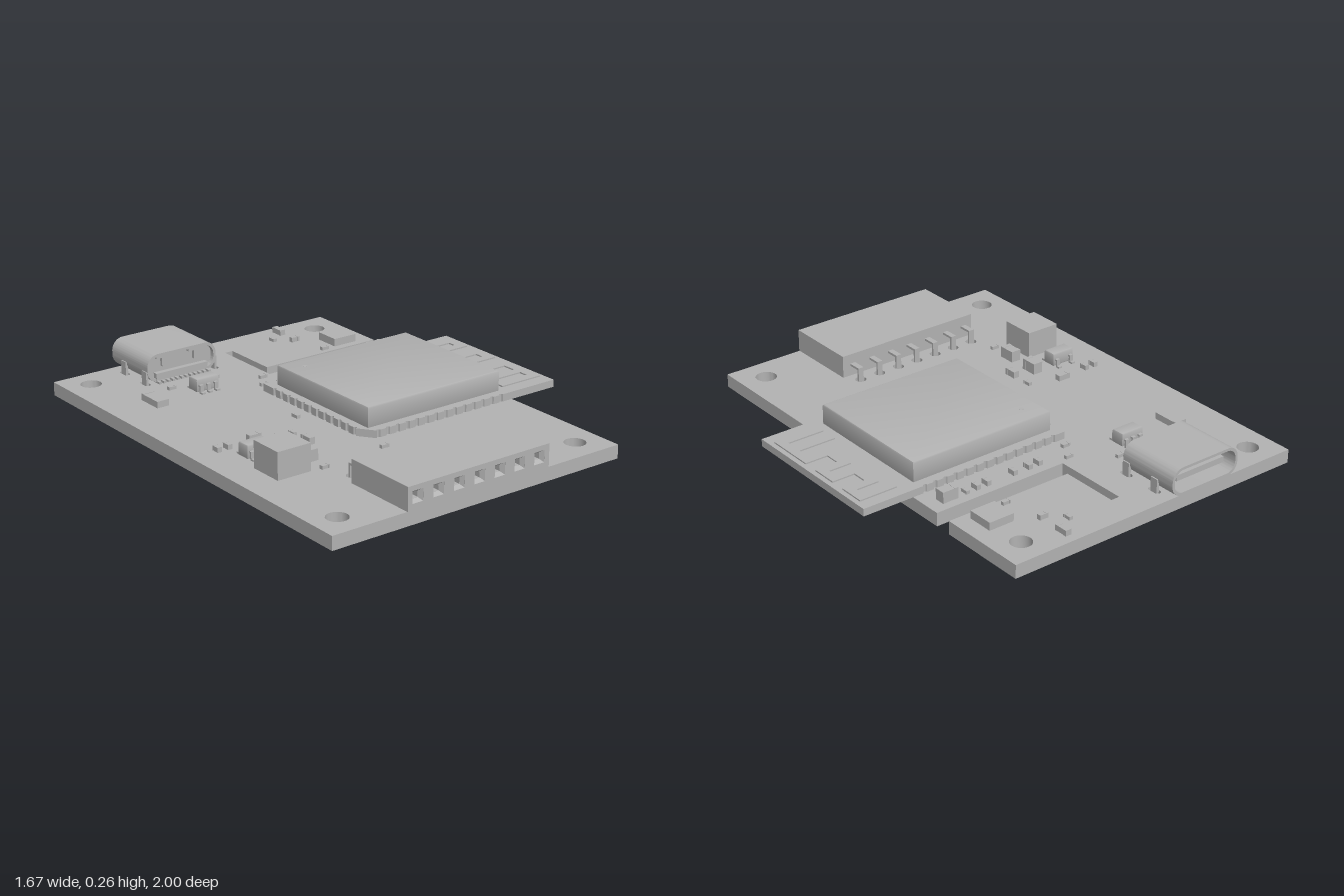
import * as THREE from 'three';
import { toCreasedNormals } from 'three/addons/utils/BufferGeometryUtils.js';

const TOP = 0.133, BASE = 0.073; // board surfaces

export function createModel() {
  const root = new THREE.Group();
  const grey = new THREE.MeshStandardMaterial({ color: 0xb2b2b2, side: THREE.DoubleSide });
  grey.name = 'plain grey';

  const add = (name, geo, parent = root) => {
    const m = new THREE.Mesh(geo, grey);
    m.name = name;
    parent.add(m);
    return m;
  };
  const group = (name) => {
    const g = new THREE.Group();
    g.name = name;
    root.add(g);
    return g;
  };
  // box given by its limits
  const box = (name, x0, x1, y0, y1, z0, z1, parent) => {
    const g = new THREE.BoxGeometry(x1 - x0, y1 - y0, z1 - z0);
    g.translate((x0 + x1) / 2, (y0 + y1) / 2, (z0 + z1) / 2);
    return add(name, g, parent);
  };
  // plan shapes use (x, -z) and are extruded upwards
  const plan = (pts) => new THREE.Shape(pts.map(([x, z]) => new THREE.Vector2(x, -z)));
  const slab = (shape, y0, y1, bevel = 0) => {
    const g = new THREE.ExtrudeGeometry(shape, {
      depth: y1 - y0 - bevel, curveSegments: 16, bevelEnabled: bevel > 0,
      bevelSize: bevel, bevelThickness: bevel, bevelOffset: -bevel, bevelSegments: 2,
    });
    g.rotateX(-Math.PI / 2).translate(0, y0, 0);
    return toCreasedNormals(g, 0.6);
  };
  const rect = (x0, x1, y0, y1) => [[x0, y0], [x1, y0], [x1, y1], [x0, y1]];
  const rectPath = (x0, x1, y0, y1) =>
    new THREE.Path(rect(x0, x1, y0, y1).map(([x, y]) => new THREE.Vector2(x, y)));
  const roundRect = (x0, x1, y0, y1, r, Kind = THREE.Shape) => {
    const s = new Kind();
    s.absarc(x1 - r, y1 - r, r, 0, Math.PI / 2);
    s.absarc(x0 + r, y1 - r, r, Math.PI / 2, Math.PI);
    s.absarc(x0 + r, y0 + r, r, Math.PI, Math.PI * 1.5);
    s.absarc(x1 - r, y0 + r, r, Math.PI * 1.5, Math.PI * 2);
    s.closePath();
    return s;
  };
  const alongZ = (shape, z0, z1) => {
    const g = new THREE.ExtrudeGeometry(shape, { depth: z1 - z0, bevelEnabled: false, curveSegments: 10 });
    return toCreasedNormals(g.translate(0, 0, z0), 0.6);
  };

  // circuit board with antenna slot, mounting holes, pin holes and vias
  const board = plan([[-0.836, -0.992], [0.595, -0.992], [0.595, -0.587], [0, -0.587], [0, -0.852],
    [-0.04, -0.852], [-0.04, -0.51], [0.595, -0.51], [0.595, 0.995], [-0.836, 0.995]]);
  const drill = (x, z, r) => board.holes.push(new THREE.Path().absarc(x, -z, r, 0, Math.PI * 2));
  for (const x of [-0.72, 0.474]) for (const z of [-0.875, 0.873]) drill(x, z, 0.046);
  const pinX = Array.from({ length: 7 }, (_, i) => -0.44 + i * 0.101);
  pinX.forEach((x) => drill(x, 0.598, 0.024));
  for (let i = 0; i < 4; i++) for (let j = 0; j < 3; j++) drill(0.16 + i * 0.04, -0.1 + j * 0.04, 0.007);
  const legX = [-0.534, -0.183], legZ = [-0.9, -0.735];
  for (const x of legX) for (const z of legZ)
    board.holes.push(roundRect(x - 0.014, x + 0.014, -z - 0.03, -z + 0.03, 0.0139, THREE.Path));
  for (const x of [-0.47, -0.245]) drill(x, -0.75, 0.01);
  add('circuit board', slab(board, BASE, TOP));

  // radio module: scalloped carrier, shield can and antenna trace
  const radio = group('radio module');
  const carrier = new THREE.Shape();
  const pitch = 0.0504, notch = 0.009;
  carrier.moveTo(-0.18, -0.357);
  for (let i = 0; i < 14; i++) carrier.absarc(-0.12 + i * pitch, -0.357, notch, Math.PI, 0, true);
  carrier.lineTo(0.832, -0.357);
  carrier.lineTo(0.832, 0.357);
  for (let i = 13; i >= 0; i--) carrier.absarc(-0.12 + i * pitch, 0.357, notch, 0, Math.PI, true);
  carrier.lineTo(-0.18, 0.357);
  for (let i = 0; i < 12; i++) carrier.absarc(-0.18, 0.277 - i * pitch, notch, Math.PI / 2, -Math.PI / 2, true);
  carrier.closePath();
  add('module carrier', slab(carrier, TOP, 0.166), radio);
  const can = plan(rect(-0.14, 0.558, -0.31, 0.313));
  add('shield can', slab(can, 0.16, 0.256, 0.008), radio);
  const dot = new THREE.CylinderGeometry(0.011, 0.011, 0.002, 16);
  add('orientation dot', dot.translate(-0.058, 0.256, -0.225), radio);
  const trace = [[0.632, -0.283], [0.79, -0.283], [0.79, -0.205], [0.685, -0.205], [0.685, -0.097],
    [0.79, -0.097], [0.79, -0.018], [0.685, -0.018], [0.685, 0.09], [0.79, 0.09], [0.79, 0.274], [0.597, 0.274]];
  const strip = ([ax, az], [bx, bz]) => box('antenna trace',
    Math.min(ax, bx) - (ax === bx ? 0.02 : 0), Math.max(ax, bx) + 0.02, 0.16, 0.172,
    Math.min(az, bz) - 0.02, Math.max(az, bz) + 0.02, radio);
  for (let i = 1; i < trace.length; i++) strip(trace[i - 1], trace[i]);
  strip([0.597, 0.192], [0.79, 0.192]);

  // socket header: funnel mouths, square bores, solid back
  const header = group('socket header');
  const hx0 = -0.487, hx1 = 0.217, hy = 0.234, cy = 0.186;
  const bored = (half) => {
    const s = new THREE.Shape(rect(hx0, hx1, TOP, hy).map(([x, y]) => new THREE.Vector2(x, y)));
    pinX.forEach((x) => s.holes.push(rectPath(x - half, x + half, cy - half, cy + half)));
    return s;
  };
  box('header back', hx0, hx1, TOP, hy, 0.656, 0.9, header);
  add('header bores', alongZ(bored(0.014), 0.9, 0.98), header);
  add('header face', alongZ(bored(0.026), 0.98, 0.998), header);
  for (const x of pinX) {
    const mouth = new THREE.CylinderGeometry(0.026 * Math.SQRT2, 0.014 * Math.SQRT2, 0.017, 4, 1, true).toNonIndexed();
    mouth.rotateY(Math.PI / 4).rotateX(Math.PI / 2).translate(x, cy, 0.989);
    mouth.computeVertexNormals();
    add('socket mouth', mouth, header);
    box('pin arm', x - 0.013, x + 0.013, 0.18, 0.19, 0.594, 0.66, header);
    box('pin leg', x - 0.013, x + 0.013, 0.03, 0.185, 0.594, 0.603, header);
    const tip = new THREE.CylinderGeometry(0.013 * Math.SQRT2, 0.007 * Math.SQRT2, 0.03, 4).toNonIndexed();
    tip.rotateY(Math.PI / 4).scale(1, 1, 0.35).translate(x, 0.015, 0.5985);
    tip.computeVertexNormals();
    add('pin tip', tip, header);
  }

  // charging port opening to the rear
  const port = group('charging port');
  const shell = roundRect(-0.534, -0.183, 0.137, 0.263, 0.055);
  shell.holes.push(roundRect(-0.522, -0.195, 0.149, 0.251, 0.045, THREE.Path));
  add('port shell', alongZ(shell, -1, -0.714), port);
  add('port insert', alongZ(roundRect(-0.523, -0.194, 0.148, 0.252, 0.045), -0.78, -0.735), port);
  box('port tongue', -0.485, -0.232, 0.187, 0.213, -0.97, -0.77, port);
  box('port base', -0.49, -0.227, TOP, 0.175, -0.78, -0.712, port);
  for (const x of [-0.44, -0.277]) {
    box('shell clip', x - 0.045, x + 0.045, 0.24, 0.257, -0.745, -0.716, port);
    box('clip tongue', x - 0.015, x + 0.015, 0.2, 0.25, -0.737, -0.72, port);
  }
  for (let i = 0; i < 12; i++) {
    const x = -0.485 + i * 0.023;
    box('port contact', x - 0.006, x + 0.006, TOP, 0.143, -0.72, -0.69, port);
  }
  for (const x of legX) for (const z of legZ)
    box('port leg', x - 0.006, x + 0.006, BASE, 0.19, z - 0.018, z + 0.018, port);

  // small chips with slightly proud end caps: x, z, width, depth, height
  const chips = [
    [-0.479, -0.611, 0.037, 0.017, 0.015], [-0.259, -0.611, 0.037, 0.017, 0.015],
    [-0.09, -0.489, 0.037, 0.017, 0.015], [-0.14, -0.41, 0.037, 0.017, 0.015],
    [0.04, -0.452, 0.021, 0.037, 0.022], [0.093, -0.452, 0.021, 0.037, 0.022],
    [0.17, -0.452, 0.021, 0.037, 0.022], [0.304, -0.452, 0.021, 0.037, 0.022],
    [0.357, -0.452, 0.021, 0.037, 0.022], [0.41, -0.452, 0.018, 0.037, 0.015],
    [0.497, -0.447, 0.074, 0.048, 0.05], [0.304, -0.92, 0.028, 0.063, 0.025],
    [0.222, -0.852, 0.018, 0.037, 0.015], [0.299, -0.791, 0.04, 0.021, 0.022],
    [0.341, -0.619, 0.037, 0.017, 0.015], [-0.251, -0.026, 0.017, 0.037, 0.015],
    [-0.526, 0.063, 0.058, 0.027, 0.025], [-0.373, 0.116, 0.017, 0.037, 0.015],
    [-0.373, 0.222, 0.028, 0.06, 0.03], [-0.474, 0.206, 0.047, 0.076, 0.05],
    [-0.474, 0.357, 0.047, 0.076, 0.05], [-0.479, 0.476, 0.037, 0.017, 0.015],
    [-0.164, 0.45, 0.037, 0.017, 0.015], [-0.714, 0.079, 0.021, 0.037, 0.022],
    [-0.664, 0.079, 0.021, 0.037, 0.022],
  ];
  const parts = group('surface parts');
  for (const [x, z, w, d, h] of chips) {
    const b = 0.001;
    box('chip body', x - w / 2 + b, x + w / 2 - b, TOP, TOP + h - b, z - d / 2 + b, z + d / 2 - b, parts);
    for (const s of [-1, 1]) {
      const cw = w > d ? w * 0.22 : w, cd = w > d ? d : d * 0.22;
      const cx = x + s * (w - cw) / 2, cz = z + s * (d - cd) / 2;
      box('chip end cap', cx - cw / 2, cx + cw / 2, TOP, TOP + h, cz - cd / 2, cz + cd / 2, parts);
    }
  }

  // gull-wing packages: legs bend from the body down to the board
  const gullWing = (x, z, rear) => {
    add('package body', slab(plan(rect(x - 0.055, x + 0.055, z - 0.03, z + 0.03)), 0.143, 0.196, 0.007), parts);
    const legs = [[1, [-0.037, 0, 0.037]], [-1, rear]];
    for (const [s, xs] of legs) for (const dx of xs) {
      const leg = (y0, y1, a, b) => box('package leg', x + dx - 0.009, x + dx + 0.009, y0, y1,
        z + Math.min(s * a, s * b), z + Math.max(s * a, s * b), parts);
      leg(0.162, 0.17, 0.025, 0.042);
      leg(TOP, 0.17, 0.036, 0.043);
      leg(TOP, 0.141, 0.038, 0.057);
    }
  };
  gullWing(-0.368, -0.532, [-0.037, 0, 0.037]);
  gullWing(-0.619, 0.201, [-0.037, 0.037]);

  // larger blocks
  box('inductor', -0.698, -0.54, TOP, 0.252, 0.31, 0.468, parts);
  box('sensor', 0.4, 0.518, TOP, 0.168, -0.74, -0.622, parts);
  box('diode body', -0.65, -0.592, TOP, 0.162, -0.565, -0.458, parts);
  box('diode band', -0.65, -0.592, TOP, 0.164, -0.582, -0.565, parts);

  return root;
}
